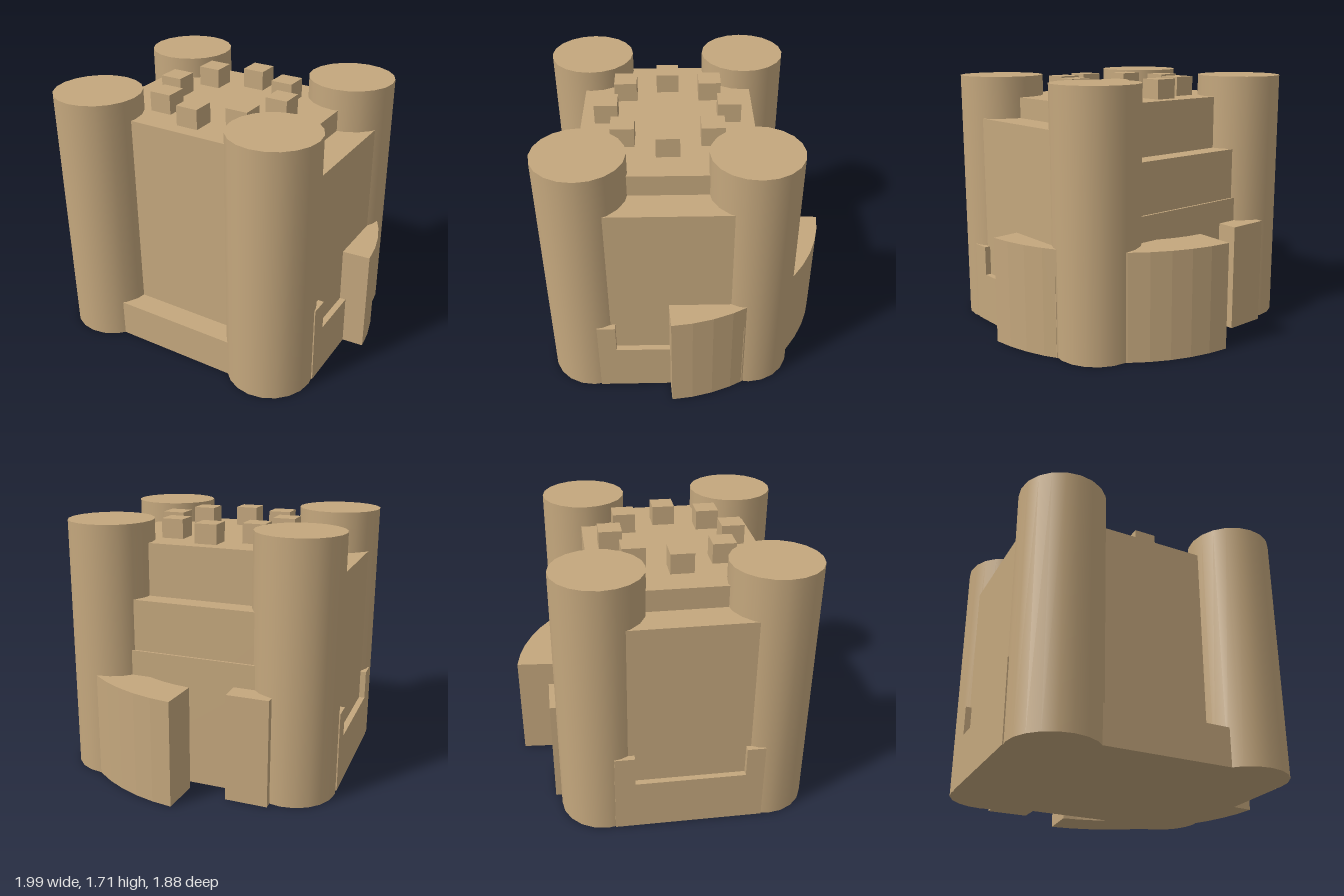
import * as THREE from 'three';

const stone = new THREE.MeshStandardMaterial({ color: 0xc4a77d });
const stoneFlat = new THREE.MeshStandardMaterial({ color: 0xc4a77d, flatShading: true });

// Box given by its extents on each axis
function block(name, [x0, x1], [y0, y1], [z0, z1]) {
  const mesh = new THREE.Mesh(new THREE.BoxGeometry(x1 - x0, y1 - y0, z1 - z0), stone);
  mesh.position.set((x0 + x1) / 2, (y0 + y1) / 2, (z0 + z1) / 2);
  mesh.name = name;
  return mesh;
}

// Faceted quarter-ring wall standing around the back right tower
function curvedWall() {
  const cx = -0.155, cz = 0.205, outer = 1.15, inner = 0.88, steps = 12;
  const start = THREE.MathUtils.degToRad(4.2), end = THREE.MathUtils.degToRad(85.8);
  const points = [];
  const add = (r, i) => {
    const a = start + (end - start) * i / steps;
    points.push(new THREE.Vector2(cx + r * Math.sin(a), -cz + r * Math.cos(a)));
  };
  for (let i = 0; i <= steps; i++) add(outer, i);
  for (let i = steps; i >= 0; i--) add(inner, i);
  const geometry = new THREE.ExtrudeGeometry(new THREE.Shape(points), { depth: 0.71, bevelEnabled: false });
  geometry.rotateX(-Math.PI / 2);
  const mesh = new THREE.Mesh(geometry, stoneFlat);
  mesh.name = 'curvedWall';
  return mesh;
}

export function createModel() {
  const castle = new THREE.Group();
  castle.name = 'castle';
  const midX = -0.075, midZ = 0.125;

  // Main keep and the lower walls between the towers
  castle.add(
    block('keep', [-0.75, 0.6], [0, 1.57], [-0.44, 0.69]),
    block('sideWalls', [-0.96, 0.81], [0, 1.43], [-0.4, 0.65]),
    block('frontStep', [-0.7, 0.55], [0, 0.255], [0.5, 0.84]),
    block('backWallUpper', [-0.7, 0.55], [0, 1.22], [-0.575, -0.4]),
    block('backWallLower', [-0.7, 0.55], [0, 0.88], [-0.59, -0.4]),
    block('backButtress', [-0.64, -0.36], [0, 0.72], [-0.73, -0.5])
  );

  // Side ledges with a raised post at each end
  for (const [side, x] of [['right', [-1, -0.7]], ['left', [0.55, 0.85]]]) {
    castle.add(
      block(side + 'Ledge', x, [0, 0.34], [-0.355, 0.605]),
      block(side + 'FrontPost', x, [0, 0.54], [0.485, 0.605]),
      block(side + 'BackPost', x, [0, 0.54], [-0.355, -0.225])
    );
  }

  // Corner towers
  const towerGeometry = new THREE.CylinderGeometry(0.285, 0.285, 1.71, 20);
  for (const sx of [-1, 1]) for (const sz of [-1, 1]) {
    const tower = new THREE.Mesh(towerGeometry, stone);
    tower.position.set(midX + sx * 0.64, 0.855, midZ + sz * 0.53);
    tower.name = (sz > 0 ? 'front' : 'back') + (sx > 0 ? 'Left' : 'Right') + 'Tower';
    castle.add(tower);
  }

  // Ring of eight battlement blocks on the roof
  for (let i = 0; i < 8; i++) {
    const a = i * Math.PI / 4;
    const x = midX + 0.4 * Math.cos(a), z = midZ + 0.4 * Math.sin(a);
    castle.add(block('battlement', [x - 0.075, x + 0.075], [1.55, 1.7], [z - 0.075, z + 0.075]));
  }

  castle.add(curvedWall());
  return castle;
}
